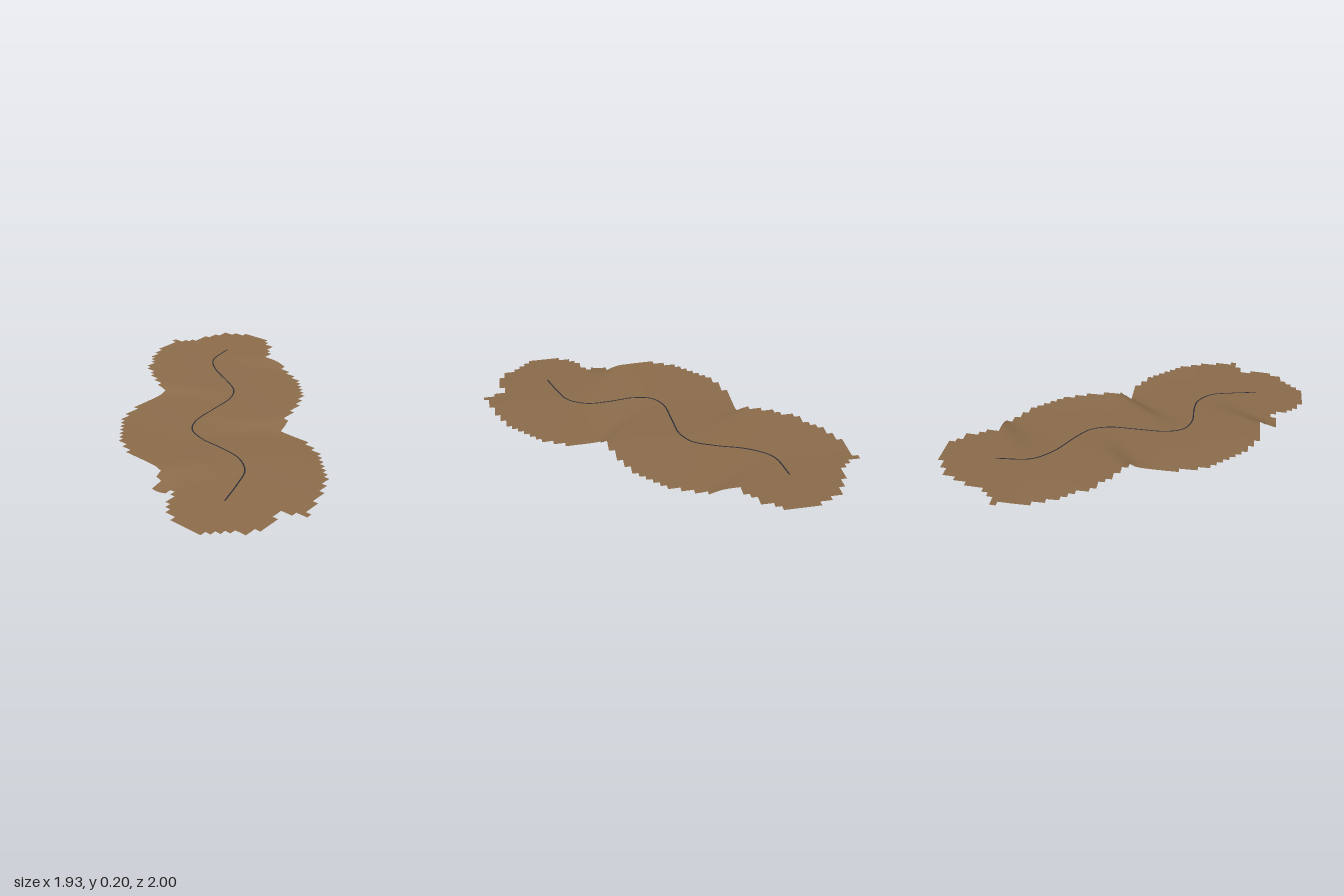
import * as THREE from 'three';

const CELL = 2 / 61; // ground grid spacing

// Trail centre line (x, z), climbing steadily from front left to back right
const TRAIL = [
  [-0.68, 0.6], [-0.52, 0.545], [-0.4, 0.49], [-0.325, 0.38], [-0.31, 0.25],
  [-0.31, 0.1], [-0.27, -0.01], [-0.18, -0.065], [0, -0.085], [0.15, -0.1],
  [0.25, -0.155], [0.32, -0.27], [0.4, -0.44], [0.5, -0.55], [0.68, -0.59],
];
const START_Y = 0.03, RISE = 0.075;

// Outermost cells of the ground patch (column, row), joined by straight runs
const OUTLINE = [
  [18, -30], [18, -29], [13, -29], [9, -27], [7, -25], [4, -23], [4, -22], [2, -20],
  [0, -16], [0, -14], [-8, -14], [-13, -12], [-17, -8], [-19, -6], [-21, -2], [-21, 6],
  [-24, 7], [-24, 9], [-23, 10], [-24, 11], [-26, 12], [-28, 14], [-29, 16], [-29, 21],
  [-25, 25], [-25, 26], [-22, 27], [-20, 27], [-20, 26], [-18, 26], [-17, 28], [-16, 30],
  [-16, 29], [-14, 29], [-8, 27], [-6, 26], [-2, 22], [0, 20], [2, 16], [2, 12],
  [3, 10], [7, 9], [12, 7], [15, 5], [19, 1], [22, -5], [22, -9], [25, -11],
  [27, -12], [27, -13], [29, -15], [29, -20], [27, -24], [23, -26], [19, -27], [19, -28],
];

function insidePatch(c, r) {
  let inside = false;
  for (let k = 0; k < OUTLINE.length; k++) {
    const [ax, ay] = OUTLINE[k], [bx, by] = OUTLINE[(k + 1) % OUTLINE.length];
    const dx = bx - ax, dy = by - ay;
    const t = THREE.MathUtils.clamp(((c - ax) * dx + (r - ay) * dy) / (dx * dx + dy * dy), 0, 1);
    if (Math.hypot(c - ax - t * dx, r - ay - t * dy) < 0.35) return true; // on the rim
    if ((ay > r) !== (by > r) && c < ax + (dx * (r - ay)) / dy) inside = !inside;
  }
  return inside;
}

// Evenly spaced trail samples, extended straight past both ends
function sampleTrail(curve, length) {
  const samples = [];
  const n = 120, step = length / n, extra = Math.round(0.5 / step);
  for (let i = -extra; i <= n + extra; i++) {
    const u = THREE.MathUtils.clamp(i / n, 0, 1);
    const p = curve.getPointAt(u).addScaledVector(curve.getTangentAt(u), i * step - u * length);
    samples.push({ x: p.x, z: p.z, y: START_Y + RISE * i * step });
  }
  return samples;
}

// Ground takes the height of the closest stretch of trail, softly blended
function groundHeight(x, z, samples) {
  const d = samples.map((s) => Math.hypot(x - s.x, z - s.z));
  const nearest = Math.min(...d);
  let sum = 0, total = 0;
  samples.forEach((s, i) => {
    const w = Math.exp((nearest - d[i]) / 0.012);
    sum += w * s.y;
    total += w;
  });
  const dip = 0.024 * Math.exp(-((x + 0.82) ** 2 + (z - 0.24) ** 2) / 0.006);
  return sum / total - dip;
}

function meshGeometry(positions, indices) {
  const g = new THREE.BufferGeometry();
  g.setAttribute('position', new THREE.Float32BufferAttribute(positions, 3));
  g.setIndex(indices);
  g.computeVertexNormals();
  return g;
}

// Stepped-edge sheet of square cells
function groundGeometry(samples) {
  const positions = [], indices = [], ids = new Map();
  const corner = (c, r) => {
    const key = `${c},${r}`;
    if (!ids.has(key)) {
      const x = (c - 0.5) * CELL, z = (r - 0.5) * CELL;
      ids.set(key, positions.length / 3);
      positions.push(x, groundHeight(x, z, samples), z);
    }
    return ids.get(key);
  };
  for (let r = -30; r <= 30; r++) {
    for (let c = -29; c <= 29; c++) {
      if (!insidePatch(c, r)) continue;
      const a = corner(c, r), b = corner(c, r + 1), d = corner(c + 1, r + 1), e = corner(c + 1, r);
      indices.push(a, b, e, b, d, e);
    }
  }
  return meshGeometry(positions, indices);
}

// Thin ribbon lying on the ground along the trail
function trailGeometry(curve, samples) {
  const positions = [], indices = [], n = 160, half = 0.004;
  for (let i = 0; i <= n; i++) {
    const p = curve.getPointAt(i / n), t = curve.getTangentAt(i / n);
    const y = groundHeight(p.x, p.z, samples) + 0.002;
    positions.push(p.x + t.z * half, y, p.z - t.x * half, p.x - t.z * half, y, p.z + t.x * half);
    if (i < n) {
      const k = 2 * i;
      indices.push(k, k + 1, k + 2, k + 1, k + 3, k + 2);
    }
  }
  return meshGeometry(positions, indices);
}

export function createModel() {
  const earth = new THREE.MeshStandardMaterial({ color: 0x8a6b4a, side: THREE.DoubleSide });
  earth.name = 'earth brown';
  const dark = new THREE.MeshStandardMaterial({ color: 0x2c2c34, side: THREE.DoubleSide });
  dark.name = 'dark slate';

  const curve = new THREE.CatmullRomCurve3(TRAIL.map(([x, z]) => new THREE.Vector3(x, 0, z)));
  const samples = sampleTrail(curve, curve.getLength());

  const ground = new THREE.Mesh(groundGeometry(samples), earth);
  ground.name = 'ground';
  const trail = new THREE.Mesh(trailGeometry(curve, samples), dark);
  trail.name = 'trail';

  const model = new THREE.Group();
  model.name = 'hillsideTrail';
  model.add(ground, trail);
  return model;
}
